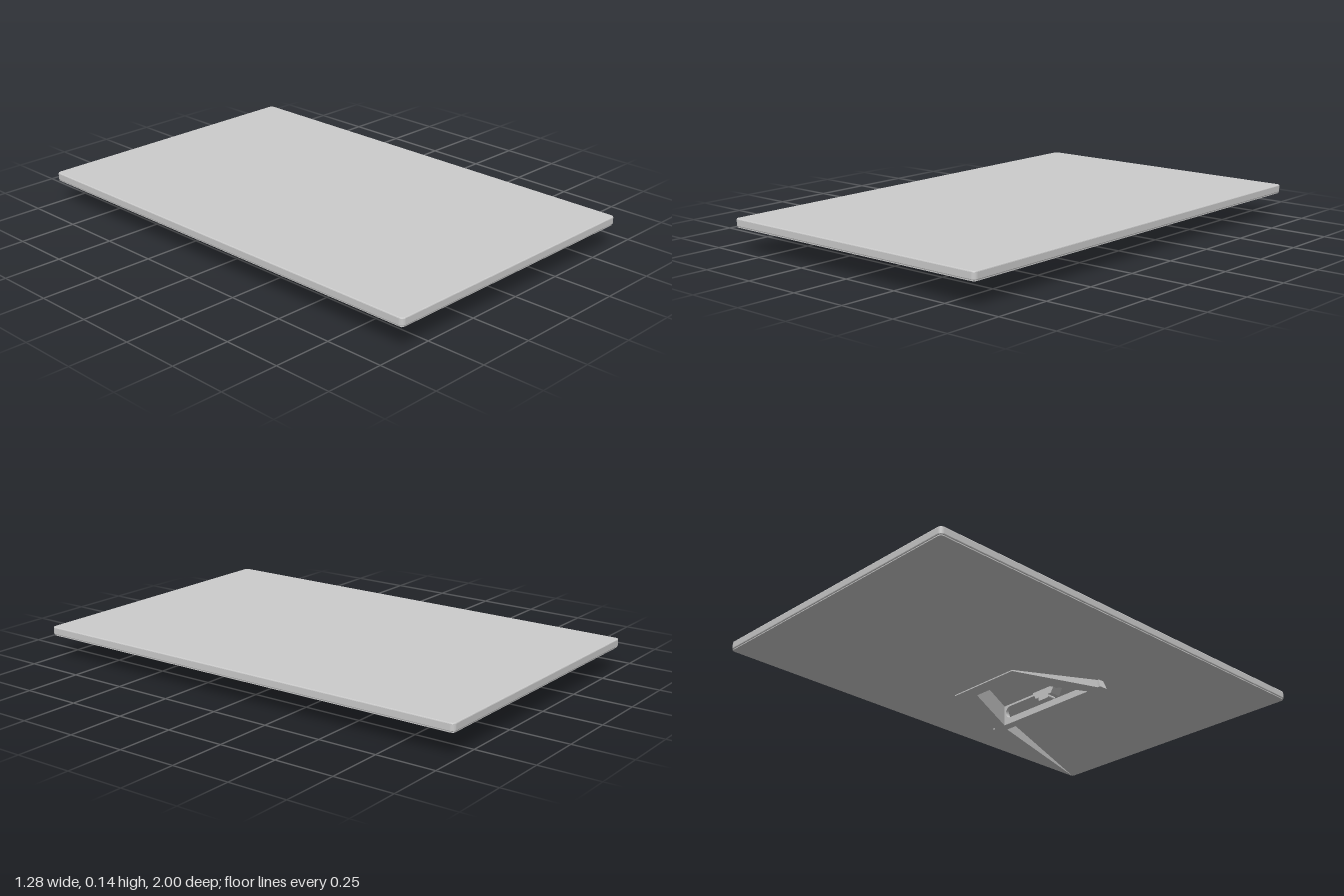
import * as THREE from 'three';

const W = 0.64, L = 1, LIP = 0.1;           // panel half width, half length, underside height
const grey = new THREE.MeshStandardMaterial({ color: 0xcccccc, side: THREE.DoubleSide });

function add(parent, name, geometry) {
  const mesh = new THREE.Mesh(geometry, grey);
  mesh.name = name;
  parent.add(mesh);
  return mesh;
}

function shapeOf(points) {
  return new THREE.Shape(points.map(([x, y]) => new THREE.Vector2(x, y)));
}

function roundedRect(w, h, r) {
  const s = new THREE.Shape();
  s.absarc(w - r, h - r, r, 0, Math.PI / 2);
  s.absarc(-w + r, h - r, r, Math.PI / 2, Math.PI);
  s.absarc(-w + r, -h + r, r, Math.PI, Math.PI * 1.5);
  s.absarc(w - r, -h + r, r, Math.PI * 1.5, Math.PI * 2);
  s.closePath();
  return s;
}

// Plan shape (x, z) raised from y0 to y1
function slab(shape, y0, y1, bevel = 0) {
  const g = new THREE.ExtrudeGeometry(shape, {
    depth: y1 - y0 - 2 * bevel, bevelEnabled: bevel > 0, bevelSize: bevel,
    bevelThickness: bevel, bevelOffset: -bevel, bevelSegments: 2, curveSegments: 6,
  });
  return g.rotateX(Math.PI / 2).translate(0, y1 - bevel, 0);
}

// Flat polygon from a fan of corners
function facet(corners) {
  const pos = [];
  for (let i = 1; i < corners.length - 1; i++) pos.push(...corners[0], ...corners[i], ...corners[i + 1]);
  const g = new THREE.BufferGeometry();
  g.setAttribute('position', new THREE.Float32BufferAttribute(pos, 3));
  g.computeVertexNormals();
  return g;
}

export function createModel() {
  const model = new THREE.Group();
  model.name = 'displayPanel';

  // Thin panel with a narrow rim below it
  add(model, 'panel', slab(roundedRect(W, L, 0.018), 0.104, 0.137, 0.004));
  add(model, 'panelRim', slab(roundedRect(W - 0.004, L - 0.004, 0.016), LIP, 0.105));

  // Sloping back shell, open towards the front
  const shell = new THREE.Group();
  shell.name = 'backShell';
  model.add(shell);
  const e = 0.006;
  add(shell, 'rearSlope', facet([
    [-W + e, LIP, -L + e], [W - e, LIP, -L + e], [0.17, 0.005, -0.2], [-0.17, 0.005, -0.2],
  ]));
  for (const s of [1, -1]) {
    const mirror = pts => (s > 0 ? pts : pts.map(([x, y, z]) => [-x, y, z]).reverse());
    add(shell, s > 0 ? 'leftSlope' : 'rightSlope', facet(mirror([
      [W - e, LIP, -L + e], [W - e, LIP, L - e], [0.315, 0.036, 0.2], [0.17, 0.005, -0.2],
    ])));
    add(shell, s > 0 ? 'leftInnerWall' : 'rightInnerWall', facet(mirror([
      [W - e, LIP, L - e], [0.31, LIP, 0.17], [0.315, 0.036, 0.2],
    ])));
  }

  // Foot: a U-shaped frame around the connection bay
  const foot = new THREE.Group();
  foot.name = 'foot';
  model.add(foot);
  add(foot, 'bayFrame', slab(shapeOf([
    [-0.17, -0.2], [0.17, -0.2], [0.306, 0.165], [0.25, 0.165],
    [0.10, -0.14], [-0.10, -0.14], [-0.25, 0.165], [-0.306, 0.165],
  ]), 0, LIP));
  add(foot, 'bayFloor', slab(shapeOf([
    [-0.11, -0.15], [0.11, -0.15], [0.26, 0.165], [-0.26, 0.165],
  ]), 0.09, LIP));

  // Front wall with a long cable slot and two screw holes, leaning back
  const wall = shapeOf([[-0.318, 0], [0.318, 0], [0.306, 0.05], [0.306, LIP], [-0.306, LIP], [-0.306, 0.05]]);
  const slot = new THREE.Path();
  slot.absarc(0.213, 0.055, 0.026, -Math.PI / 2, Math.PI / 2);
  slot.absarc(-0.213, 0.055, 0.026, Math.PI / 2, Math.PI * 1.5);
  slot.closePath();
  wall.holes.push(slot);
  for (const s of [1, -1]) {
    const hole = new THREE.Path();
    hole.absarc(s * 0.277, 0.03, 0.012, 0, Math.PI * 2);
    wall.holes.push(hole);
  }
  const wallGeo = new THREE.ExtrudeGeometry(wall, { depth: 0.04, bevelEnabled: false, curveSegments: 12 });
  wallGeo.translate(0, 0, 0.16);
  const p = wallGeo.attributes.position;
  for (let i = 0; i < p.count; i++) {
    if (p.getZ(i) > 0.18) p.setZ(i, 0.2 - 0.35 * p.getY(i));
  }
  wallGeo.computeVertexNormals();
  add(foot, 'frontWall', wallGeo);

  // Tapered hub in the middle of the slot with a small plug under it
  const hub = shapeOf([[-0.07, LIP], [-0.045, 0.058], [0.045, 0.058], [0.07, LIP]]);
  add(foot, 'centreHub', new THREE.ExtrudeGeometry(hub, {
    depth: 0.05, bevelEnabled: false,
  }).translate(0, 0, 0.15));
  add(foot, 'plug', new THREE.ExtrudeGeometry(roundedRect(0.03, 0.008, 0.007), {
    depth: 0.04, bevelEnabled: false, curveSegments: 4,
  }).translate(0, 0.05, 0.15));

  return model;
}
